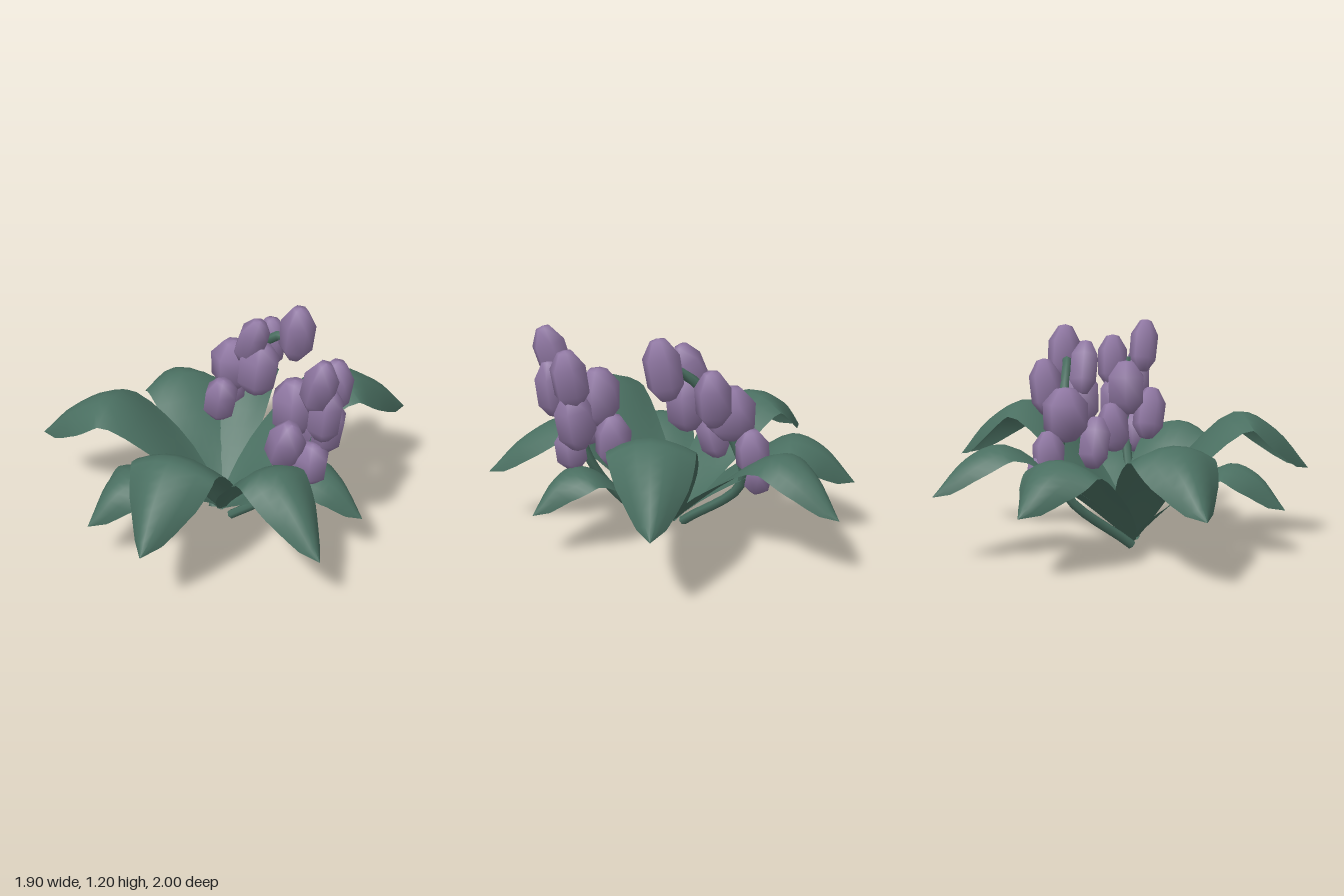
import * as THREE from 'three';

const V = (p) => new THREE.Vector3(...p);

// Leaf blade swept along an arching midrib: flat at the base, edges drooping more toward the tip
function leafGeometry([root, mid, bend, tip], width) {
  const rows = 16, cols = 6;
  const shoulder = V(bend).lerp(V(tip), 0.52);
  shoulder.y += 0.07;
  const curve = new THREE.CatmullRomCurve3([V(root), V(mid), V(bend), shoulder, V(tip)]);
  const out = V(tip).sub(V(root)).setY(0).normalize();
  const side = new THREE.Vector3(out.z, 0, -out.x);
  const pos = [], idx = [];
  for (let i = 0; i <= rows; i++) {
    const t = i / rows;
    const p = curve.getPoint(t);
    const normal = curve.getTangent(t).cross(side).normalize();
    const half = 0.5 * width * Math.pow(Math.max(0, Math.sin(Math.PI * Math.pow(t, 1.05))), 0.7) + 0.02 * (1 - t);
    const cup = half * (0.25 - 1.2 * t);
    for (let j = 0; j <= cols; j++) {
      const u = (j / cols) * 2 - 1;
      const q = p.clone().addScaledVector(side, u * half).addScaledVector(normal, cup * u * u);
      pos.push(q.x, q.y, q.z);
    }
  }
  const w = cols + 1;
  for (let i = 0; i < rows; i++) {
    for (let j = 0; j < cols; j++) {
      const a = i * w + j;
      idx.push(a, a + w, a + 1, a + 1, a + w, a + w + 1);
    }
  }
  const g = new THREE.BufferGeometry();
  g.setAttribute('position', new THREE.Float32BufferAttribute(pos, 3));
  g.setIndex(idx);
  g.computeVertexNormals();
  return g;
}

// Six-sided bud with blunt ends, softly shaded
function budGeometry() {
  const profile = [[0, -0.167], [0.045, -0.157], [0.1, -0.085], [0.103, 0.07], [0.045, 0.157], [0, 0.167]];
  return new THREE.LatheGeometry(profile.map(([x, y]) => new THREE.Vector2(x, y)), 6);
}

export function createModel() {
  const leafGreen = new THREE.MeshStandardMaterial({ color: 0x4a6f61, side: THREE.DoubleSide });
  leafGreen.name = 'leafGreen';
  const budPurple = new THREE.MeshStandardMaterial({ color: 0x8f77a2 });
  budPurple.name = 'budPurple';

  const plant = new THREE.Group();
  plant.name = 'floweringPlant';
  const add = (parent, geometry, material, name) => {
    const mesh = new THREE.Mesh(geometry, material);
    mesh.name = name;
    parent.add(mesh);
    return mesh;
  };

  // Rosette of leaves: middle, bend and tip of each midrib, then width
  const leaves = new THREE.Group();
  leaves.name = 'leaves';
  plant.add(leaves);
  const root = [0.02, 0.03, 0.03];
  [
    [[0.11, 0.41, 0.29], [0.19, 0.72, 0.6], [0.32, 0.39, 1.0], 0.43],
    [[-0.04, 0.27, 0.27], [-0.11, 0.48, 0.54], [-0.2, 0.25, 0.84], 0.35],
    [[-0.26, 0.38, 0.12], [-0.55, 0.64, 0.26], [-0.95, 0.34, 0.43], 0.42],
    [[-0.26, 0.34, -0.15], [-0.53, 0.56, -0.29], [-0.83, 0.32, -0.47], 0.42],
    [[-0.14, 0.35, -0.29], [-0.3, 0.6, -0.61], [-0.47, 0.35, -0.96], 0.33],
    [[0.18, 0.45, -0.26], [0.36, 0.76, -0.56], [0.53, 0.42, -1.0], 0.42],
    [[0.27, 0.34, 0.12], [0.53, 0.62, 0.25], [0.95, 0.32, 0.4], 0.35],
    [[0.29, 0.25, 0], [0.55, 0.46, -0.08], [0.85, 0.25, -0.12], 0.31],
  ].forEach(([mid, bend, tip, width]) =>
    add(leaves, leafGeometry([root, mid, bend, tip], width), leafGreen, 'leaf'));

  // Two flower spikes: stem path and buds as x, y, z, length, girth, lean sideways, lean forward
  const bud = budGeometry();
  const spikes = [
    {
      name: 'backFlowerSpike',
      stem: [[-0.04, 0.02, 0.03], [-0.24, 0.36, -0.32], [-0.13, 0.7, -0.33], [0, 0.9, -0.33], [0.12, 1.0, -0.33], [0.2, 1.0, -0.35]],
      buds: [
        [0.22, 1.03, -0.36, 0.98, 0.9, -0.15, 0.05],
        [0.02, 0.97, -0.23, 0.92, 0.8, -0.4, 0.05],
        [-0.02, 0.87, -0.43, 0.92, 0.88, -0.1, -0.1],
        [0.05, 0.81, -0.25, 0.93, 1.08, -0.1, -0.05],
        [-0.17, 0.74, -0.31, 0.87, 1.22, 0, 0],
        [-0.14, 0.59, -0.16, 0.84, 0.88, -0.25, 0.1],
        [-0.26, 0.54, -0.39, 0.76, 0.85, -0.1, 0],
        [-0.29, 0.42, -0.42, 0.7, 0.75, 0, -0.4],
      ],
    },
    {
      name: 'sideFlowerSpike',
      stem: [[0.1, 0.03, 0.04], [0.33, 0.23, 0.01], [0.51, 0.49, -0.03], [0.6, 0.78, -0.04], [0.65, 0.98, -0.03]],
      buds: [
        [0.665, 1.045, 0.06, 0.95, 0.82, -0.28, 0.08],
        [0.68, 0.88, 0.02, 0.92, 0.85, -0.1, 0],
        [0.63, 0.96, -0.12, 0.92, 0.88, -0.15, 0],
        [0.455, 0.82, -0.03, 0.93, 1.14, 0, 0],
        [0.5, 0.67, 0.1, 0.92, 0.92, -0.35, 0.1],
        [0.6, 0.73, -0.1, 0.95, 1.0, -0.15, 0],
        [0.4, 0.6, -0.1, 0.85, 0.9, 0, -0.1],
        [0.59, 0.55, 0, 0.72, 0.9, -0.1, 0],
      ],
    },
  ];
  for (const { name, stem, buds } of spikes) {
    const spike = new THREE.Group();
    spike.name = name;
    plant.add(spike);
    const path = new THREE.CatmullRomCurve3(stem.map(V));
    add(spike, new THREE.TubeGeometry(path, 16, 0.026, 6), leafGreen, 'stem');
    buds.forEach(([x, y, z, length, girth, lean, pitch], i) => {
      const m = add(spike, bud, budPurple, 'bud');
      m.position.set(x, y, z);
      m.rotation.set(pitch, (i % 2) * Math.PI / 6, lean, 'ZXY');
      m.scale.set(girth * 1.05, length, girth * 0.95);
    });
  }
  return plant;
}
